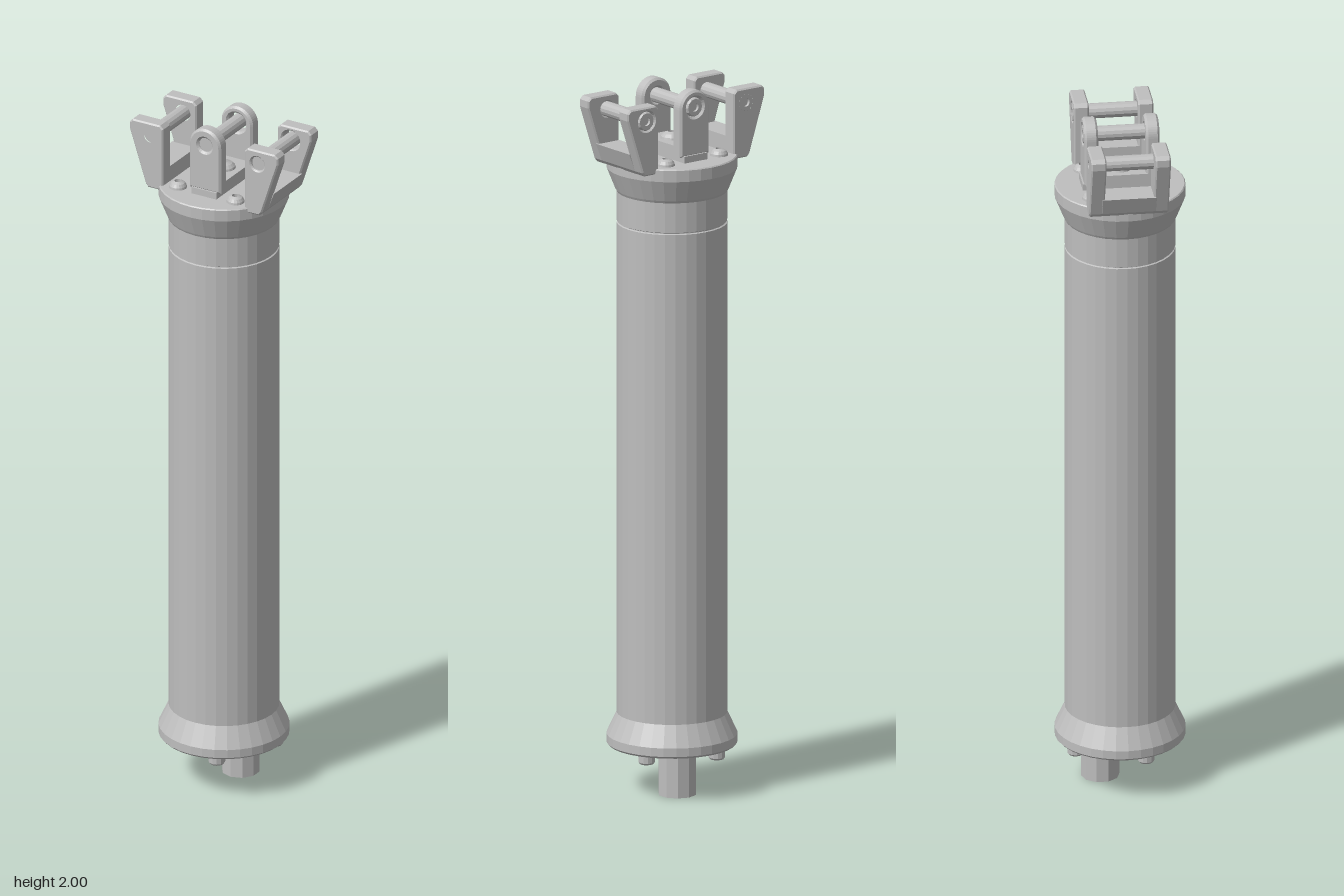
import * as THREE from 'three';

export function createModel() {
  const model = new THREE.Group();
  model.name = 'actuator';
  const metal = new THREE.MeshStandardMaterial({ color: 0xbebebe, flatShading: true });
  metal.name = 'grey metal';

  function add(parent, name, geometry, x = 0, y = 0, z = 0) {
    const mesh = new THREE.Mesh(geometry, metal);
    mesh.name = name;
    mesh.position.set(x, y, z);
    parent.add(mesh);
    return mesh;
  }
  const lathe = (points, sides) =>
    new THREE.LatheGeometry(points.map(([r, y]) => new THREE.Vector2(r, y)), sides);
  const outline = (points) => new THREE.Shape(points.map(([x, y]) => new THREE.Vector2(x, y)));

  // Extrudes a shape between two z values, with softened edges
  function slab(shape, z0, z1, bevel = 0.004) {
    const geometry = new THREE.ExtrudeGeometry(shape, {
      depth: z1 - z0 - 2 * bevel, bevelEnabled: true, bevelThickness: bevel,
      bevelSize: bevel, bevelOffset: -bevel, bevelSegments: 1, curveSegments: 12,
    });
    return geometry.translate(0, 0, z0 + bevel);
  }
  function pierce(shape, x, y, r) {
    const hole = new THREE.Path();
    hole.absarc(x, y, r, 0, Math.PI * 2, true);
    shape.holes.push(hole);
    return shape;
  }

  // Tube with flared collars and a thin seam under the upper collar
  add(model, 'body', lathe([
    [0, 0.13], [0.174, 0.13], [0.18, 0.136], [0.18, 0.16], [0.152, 0.22],
    [0.152, 1.608], [0.148, 1.61], [0.148, 1.612], [0.152, 1.614],
    [0.152, 1.698], [0.156, 1.705], [0.18, 1.765], [0.18, 1.797], [0.177, 1.8], [0, 1.8],
  ], 32));

  // Off-centre drive shaft
  add(model, 'driveShaft', new THREE.CylinderGeometry(0.053, 0.053, 0.14, 10), 0.022, 0.07, -0.052);

  // Cap screws under the base
  for (const [x, z] of [[0.13, -0.055], [0.055, 0.13], [-0.13, 0.055], [-0.055, -0.13]]) {
    const screw = add(model, 'baseScrew', lathe([
      [0.023, 0], [0.023, 0.022], [0.019, 0.027], [0.011, 0.027], [0.011, 0.015], [0, 0.015],
    ], 12), x, 0.13, z);
    screw.rotation.x = Math.PI;
  }

  // Domed screws on the top deck
  const dome = [[0.025, 0], [0.024, 0.006], [0.019, 0.014], [0.01, 0.019], [0.01, 0.009], [0, 0.009]];
  for (const x of [-0.092, 0.092]) {
    for (const z of [-0.092, 0.092]) add(model, 'deckScrew', lathe(dome, 18), x, 1.8, z);
  }

  // Pin with a socketed head sunk in the rear plate
  function addPin(parent, x, y, z) {
    const pin = add(parent, 'pin', new THREE.CylinderGeometry(0.021, 0.021, 2 * z - 0.016, 14), x, y, 0);
    pin.rotation.x = Math.PI / 2;
    const head = add(parent, 'pinHead', lathe([
      [0.027, 0], [0.027, 0.014], [0.024, 0.018], [0.012, 0.018], [0.012, 0.008], [0, 0.008],
    ], 12), x, y, 0.018 - z);
    head.rotation.x = -Math.PI / 2;
  }

  // Side clevises: tapering plates joined by a foot
  for (const s of [-1, 1]) {
    const clevis = new THREE.Group();
    clevis.name = s > 0 ? 'leftClevis' : 'rightClevis';
    model.add(clevis);
    const plate = () => outline([
      [0.13, 1.785], [0.178, 1.785], [0.186, 1.795], [0.237, 1.95], [0.237, 1.97],
      [0.227, 1.98], [0.14, 1.98], [0.13, 1.97],
    ].map(([x, y]) => [s * x, y]));
    add(clevis, 'frontPlate', slab(pierce(plate(), s * 0.172, 1.94, 0.021), 0.068, 0.11));
    add(clevis, 'rearPlate', slab(pierce(plate(), s * 0.172, 1.94, 0.028), -0.11, -0.068));
    const foot = outline([[0.13, 1.785], [0.178, 1.785], [0.186, 1.795], [0.206, 1.845], [0.13, 1.845]]
      .map(([x, y]) => [s * x, y]));
    add(clevis, 'foot', slab(foot, -0.075, 0.075, 0.001));
    addPin(clevis, s * 0.172, 1.94, 0.11);
  }

  // Central clevis: round-topped plates on a block with a domed bolt
  const centre = new THREE.Group();
  centre.name = 'centreClevis';
  model.add(centre);
  function roundPlate(holeRadius) {
    const shape = new THREE.Shape();
    shape.moveTo(-0.05, 1.815);
    shape.lineTo(0.05, 1.815);
    shape.lineTo(0.05, 1.95);
    shape.absarc(0, 1.95, 0.05, 0, Math.PI, false);
    shape.closePath();
    return pierce(shape, 0, 1.952, holeRadius);
  }
  add(centre, 'frontPlate', slab(roundPlate(0.021), 0.066, 0.104, 0.006));
  add(centre, 'rearPlate', slab(roundPlate(0.028), -0.104, -0.066, 0.006));
  add(centre, 'block', new THREE.BoxGeometry(0.1, 0.03, 0.15), 0, 1.83, 0);
  add(centre, 'neck', new THREE.BoxGeometry(0.08, 0.022, 0.216), 0, 1.808, 0);
  add(centre, 'centreBolt', lathe([
    [0.033, 0], [0.031, 0.007], [0.023, 0.015], [0.012, 0.02], [0.012, 0.01], [0, 0.01],
  ], 18), 0, 1.844, 0);
  addPin(centre, 0, 1.952, 0.104);

  return model;
}
